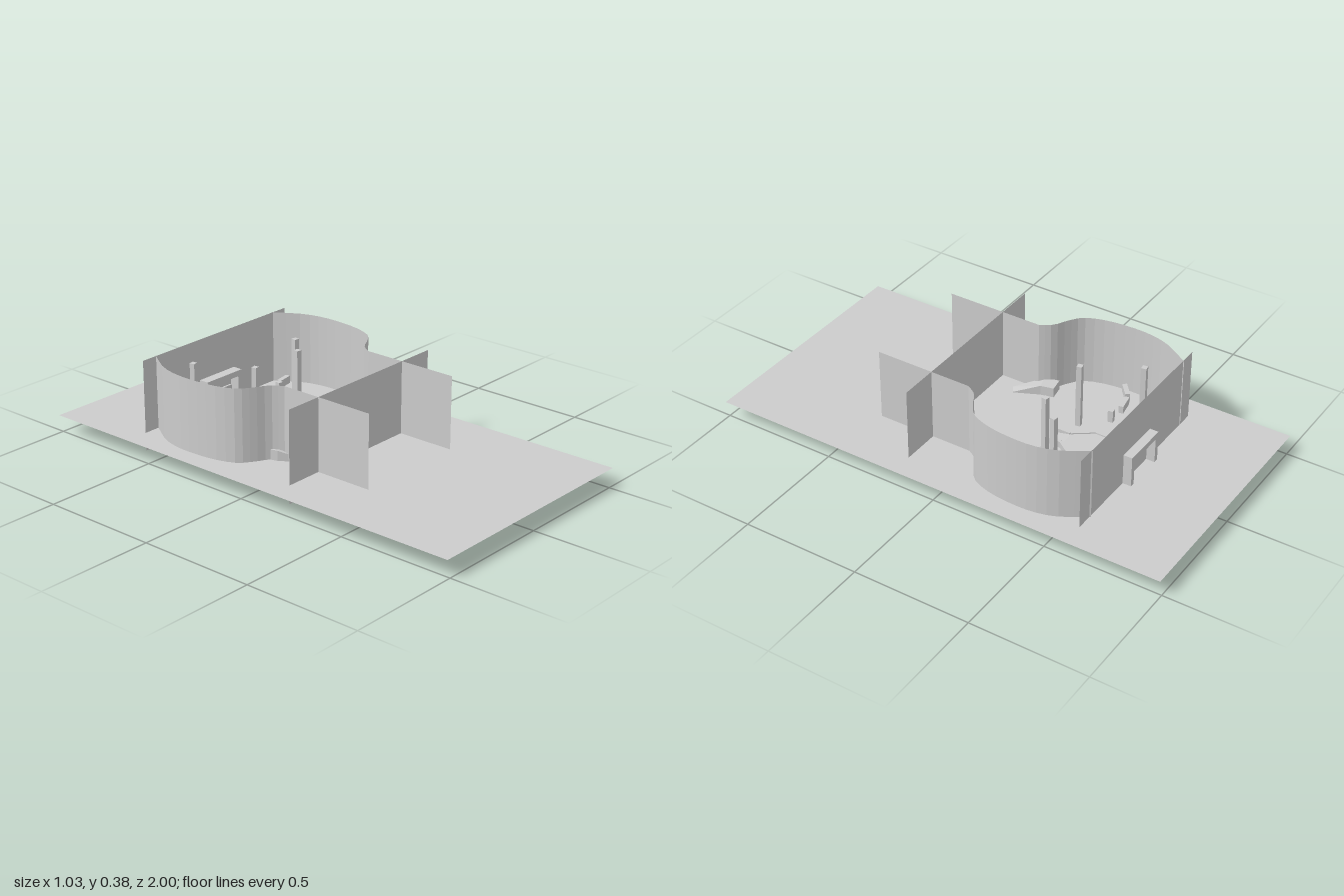
import * as THREE from 'three';

const FLOOR = 0.077, TOP = 0.385;

export function createModel() {
  const model = new THREE.Group();
  const grey = new THREE.MeshStandardMaterial({ color: 0xcccccc, side: THREE.DoubleSide, flatShading: true });
  grey.name = 'plain grey';

  const add = (name, geometry, x = 0, y = 0, z = 0, turn = 0) => {
    const mesh = new THREE.Mesh(geometry, grey);
    mesh.name = name;
    mesh.position.set(x, y, z);
    mesh.rotation.y = turn;
    model.add(mesh);
    return mesh;
  };
  // box standing between two heights
  const block = (name, w, d, y0, y1, x, z, turn = 0) =>
    add(name, new THREE.BoxGeometry(w, y1 - y0, d), x, (y0 + y1) / 2, z, turn);
  // bar running between two plan points
  const bar = (name, a, b, width, y0, y1) => {
    const dx = b[0] - a[0], dz = b[1] - a[1];
    block(name, Math.hypot(dx, dz), width, y0, y1, (a[0] + b[0]) / 2, (a[1] + b[1]) / 2, Math.atan2(-dz, dx));
  };
  // sheet or solid skinned across rows of equally many points
  const skin = (rows) => {
    const n = rows[0].length, index = [];
    for (let i = 0; i < rows.length - 1; i++)
      for (let j = 0; j < n - 1; j++) {
        const a = i * n + j, b = a + n;
        index.push(a, a + 1, b, b, a + 1, b + 1);
      }
    const g = new THREE.BufferGeometry();
    g.setAttribute('position', new THREE.Float32BufferAttribute(rows.flat(2), 3));
    g.setIndex(index);
    g.computeVertexNormals();
    return g;
  };

  // floor sheet
  add('floor', new THREE.PlaneGeometry(1.035, 2).rotateX(-Math.PI / 2), 0, FLOOR, 0);

  // cross walls, which reach below the floor
  for (const [name, z] of [['frontWall', 0.172], ['backWall', -0.6]])
    add(name, new THREE.PlaneGeometry(0.83, TOP), 0, TOP / 2, z);

  // side walls: straight at the front, swelling outward behind
  const bulge = new THREE.CatmullRomCurve3([
    [0.25, 0], [0.28, -0.045], [0.34, -0.08], [0.39, -0.12], [0.422, -0.2],
    [0.435, -0.3], [0.433, -0.4], [0.41, -0.49], [0.34, -0.605],
  ].map(([x, z]) => new THREE.Vector3(x, 0, z))).getPoints(18);
  const plan = [new THREE.Vector3(0.25, 0, 0.42), ...bulge];
  for (const s of [-1, 1]) {
    const rows = plan.map((p) => [[s * p.x, FLOOR, p.z], [s * p.x, TOP, p.z]]);
    add(s > 0 ? 'leftWall' : 'rightWall', skin(rows));
  }

  // arch through the back wall
  for (const s of [-1, 1]) block('archLeg', 0.02, 0.08, 0.05, 0.21, s * 0.09, -0.597);
  block('archTop', 0.2, 0.08, 0.185, 0.21, 0, -0.597);
  block('archPlate', 0.05, 0.008, 0.12, 0.17, 0, -0.545);

  // rails leading to the arch
  const rail = [[0.035, -0.22], [0.035, -0.285], [0.093, -0.365], [0.093, -0.45], [0.075, -0.555]];
  for (const s of [-1, 1])
    for (let i = 0; i < rail.length - 1; i++)
      bar('rail', [s * rail[i][0], rail[i][1]], [s * rail[i + 1][0], rail[i + 1][1]], 0.014, i ? 0.053 : 0.063, 0.105);

  // sloped entry and raised deck between the rails
  const deck = [[0.035, FLOOR, -0.19], [0.035, 0.1, -0.29], [0.093, 0.1, -0.365], [0.093, 0.1, -0.45], [0.075, 0.1, -0.555]];
  add('rampDeck', skin(deck.map(([x, y, z]) => [[-x, y, z], [x, y, z]])));

  // posts, four tall and two short
  for (const [x, z, top] of [
    [-0.255, -0.48, 0.36], [-0.22, -0.36, 0.13], [-0.128, -0.265, 0.36],
    [0.247, -0.48, 0.13], [0.215, -0.36, 0.36], [0.123, -0.265, 0.36],
  ]) block('post', 0.022, 0.022, 0.068, top, x, z, x < 0 ? 0.15 : -0.15);

  // low angled targets
  for (const [x, z, turn] of [[-0.4, -0.323, 0.7], [-0.32, -0.36, 0.18], [0.33, -0.532, 0.18]])
    block('target', 0.072, 0.02, 0.069, 0.11, x, z, turn);

  // small bent wedge, level behind and sloping to the floor in front
  const wedge = [
    [[-0.29, -0.075], [-0.23, -0.085], 0.12],
    [[-0.275, -0.015], [-0.217, -0.03], 0.12],
    [[-0.2, 0.09], [-0.17, 0.07], 0.08],
  ];
  const ring = ([[ax, az], [bx, bz], y]) =>
    [[ax, 0.07, az], [ax, y, az], [bx, y, bz], [bx, 0.07, bz], [ax, 0.07, az]];
  add('wedge', skin(wedge.map(ring)));
  for (const [[ax, az], [bx, bz], y] of [wedge[0], wedge[2]])
    add('wedgeEnd', skin([[[ax, 0.07, az], [ax, y, az]], [[bx, 0.07, bz], [bx, y, bz]]]));

  return model;
}
